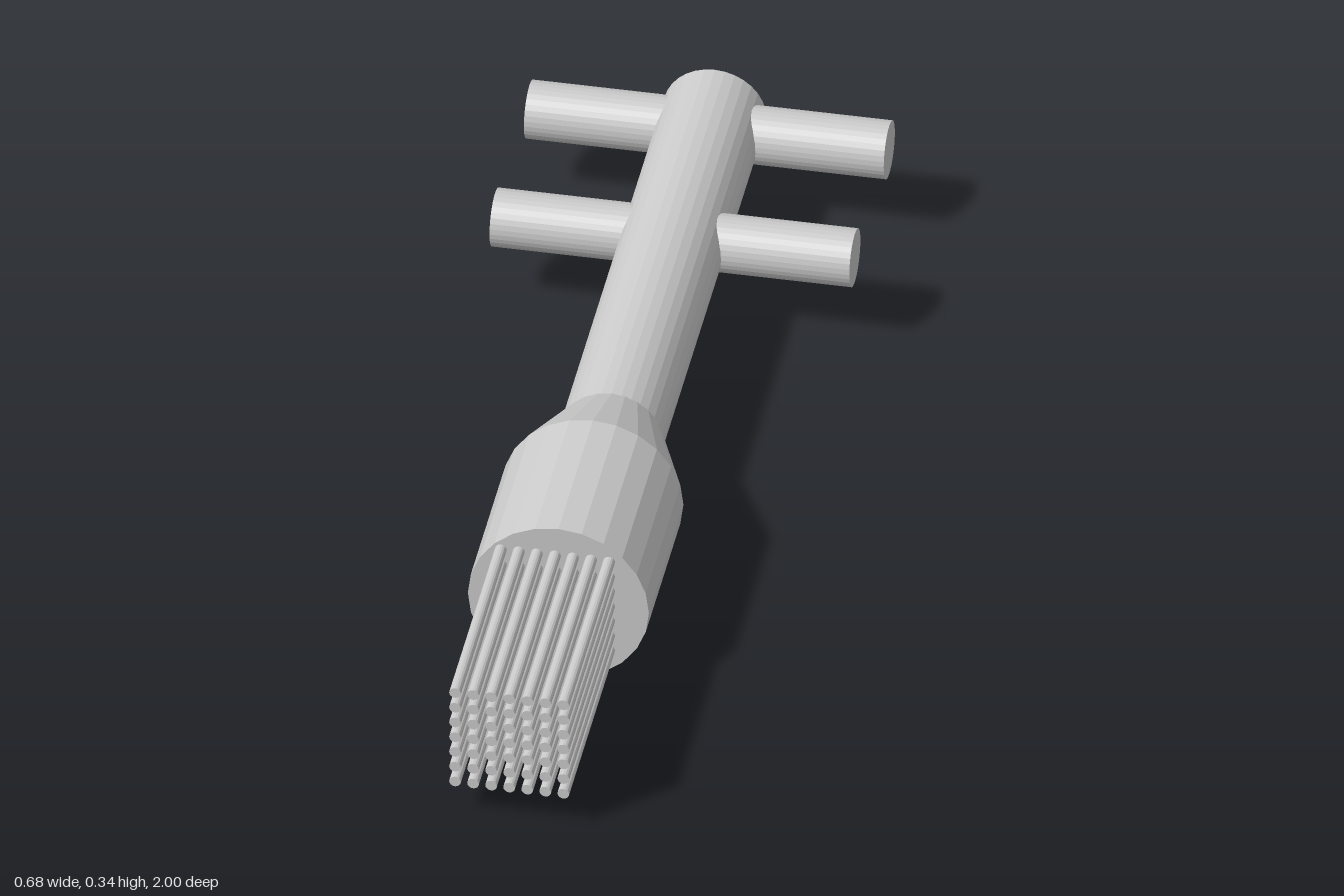
import * as THREE from 'three';

const AXIS_Y = 0.17;

export function createModel() {
  const model = new THREE.Group();
  const material = new THREE.MeshStandardMaterial({ color: 0xcccccc, flatShading: true });

  const add = (name, geometry, x, y, z, parent = model) => {
    const mesh = new THREE.Mesh(geometry, material);
    mesh.name = name;
    mesh.position.set(x, y, z);
    parent.add(mesh);
    return mesh;
  };

  // Cylinder lying along z, from back to front
  const rodZ = (radius, length, sides) =>
    new THREE.CylinderGeometry(radius, radius, length, sides).rotateX(Math.PI / 2);

  // Handle shaft
  add('handle', rodZ(0.097, 1.04, 32), 0, AXIS_Y, -0.48);

  // Ferrule: tapered neck, straight barrel and closed front
  const profile = [[0, 0.02], [0.097, 0.02], [0.17, 0.205], [0.17, 0.547], [0, 0.547]]
    .map(([r, z]) => new THREE.Vector2(r, z));
  add('ferrule', new THREE.LatheGeometry(profile, 24).rotateX(Math.PI / 2), 0, AXIS_Y, 0);

  // Crossbars through the handle
  const bar = new THREE.CylinderGeometry(0.055, 0.055, 0.676, 32).rotateZ(Math.PI / 2);
  add('middleCrossbar', bar, 0, AXIS_Y, -0.605);
  add('rearCrossbar', bar, 0, AXIS_Y, -0.945);

  // Square grid of bristles
  const bristles = new THREE.Group();
  bristles.name = 'bristles';
  model.add(bristles);
  const bristle = rodZ(0.011, 0.48, 16);
  for (let i = 0; i < 7; i++) {
    for (let j = 0; j < 7; j++) {
      add('bristle', bristle, -0.108 + i * 0.0339, 0.075 + j * 0.0339, 0.76, bristles);
    }
  }

  return model;
}
